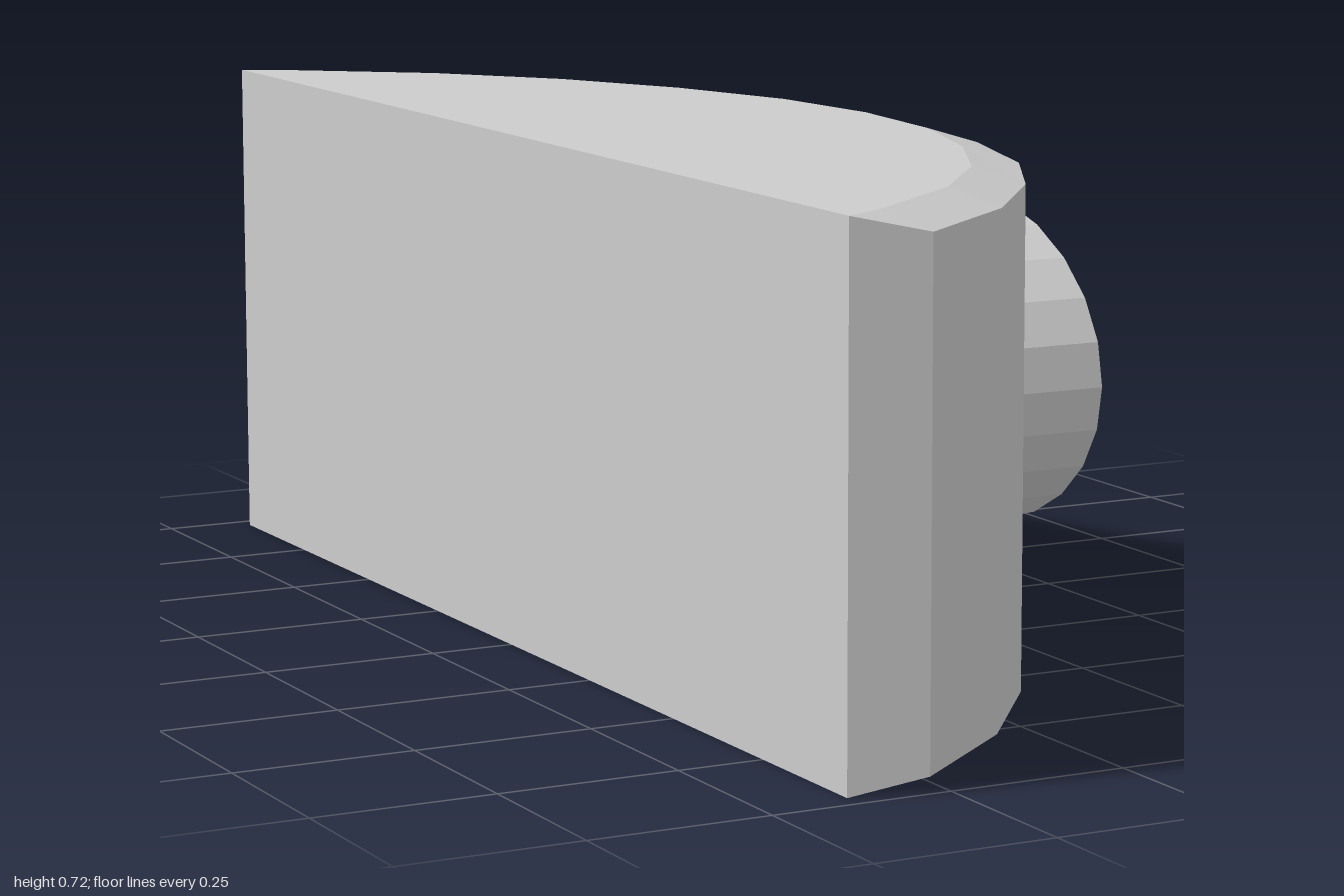
import * as THREE from 'three';

const material = new THREE.MeshStandardMaterial({ color: 0xcccccc, flatShading: true });

// Half outlines [x, z] from the flat back corner to the middle of the bow
const RIM = [[-0.38, 0.97], [-0.28, 1], [-0.095, 0.85], [0.055, 0.66], [0.165, 0.46], [0.236, 0.23], [0.258, 0]];
const CAP = [[-0.38, 0.97], [-0.32, 0.935], [-0.135, 0.785], [0, 0.615], [0.1, 0.42], [0.166, 0.21], [0.186, 0]];
const HEIGHT = 0.72, BEVEL = 0.022;

const mirrored = (half) => [...half, ...half.slice(0, -1).reverse().map(([x, z]) => [x, -z])];

// Bowed block: four stacked rings, with the bevel vanishing at the back corners
function bodyGeometry() {
  const rim = mirrored(RIM), cap = mirrored(CAP), n = rim.length;
  const ring = (outline, y, cornerY) =>
    outline.map(([x, z], i) => [x, i === 0 || i === n - 1 ? cornerY : y, z]);
  const rings = [
    ring(cap, 0, 0),
    ring(rim, BEVEL, 0),
    ring(rim, HEIGHT - BEVEL, HEIGHT),
    ring(cap, HEIGHT, HEIGHT),
  ];
  const index = [];
  const same = (p, q) => rings.flat()[p].every((v, k) => v === rings.flat()[q][k]);
  const triangle = (a, b, c) => {
    if (!same(a, b) && !same(b, c) && !same(a, c)) index.push(a, b, c);
  };
  for (let r = 0; r < 3; r++) {
    for (let i = 0; i < n; i++) {
      const a = r * n + i, b = r * n + (i + 1) % n;
      triangle(a, b, b + n);
      triangle(a, b + n, a + n);
    }
  }
  for (let i = 1; i < n - 1; i++) {
    triangle(0, i + 1, i);
    triangle(3 * n, 3 * n + i, 3 * n + i + 1);
  }
  const geometry = new THREE.BufferGeometry();
  geometry.setAttribute('position', new THREE.Float32BufferAttribute(rings.flat(2), 3));
  geometry.setIndex(index);
  const flat = geometry.toNonIndexed();
  flat.computeVertexNormals();
  return flat;
}

// Oval button: a lathe with a bevelled outer edge, turned to face +x
function buttonGeometry() {
  const profile = [[0, 0.15], [1, 0.15], [1, 0.366], [0.9, 0.379], [0, 0.379]]
    .map(([r, x]) => new THREE.Vector2(r, x));
  const geometry = new THREE.LatheGeometry(profile, 24);
  geometry.rotateZ(-Math.PI / 2);
  geometry.scale(1, 0.24, 0.357);
  geometry.translate(0, HEIGHT / 2, 0);
  const flat = geometry.toNonIndexed();
  flat.computeVertexNormals();
  return flat;
}

export function createModel() {
  const group = new THREE.Group();
  group.name = 'bowedBlockWithButton';
  for (const [name, geometry] of [['body', bodyGeometry()], ['button', buttonGeometry()]]) {
    const mesh = new THREE.Mesh(geometry, material);
    mesh.name = name;
    group.add(mesh);
  }
  return group;
}
